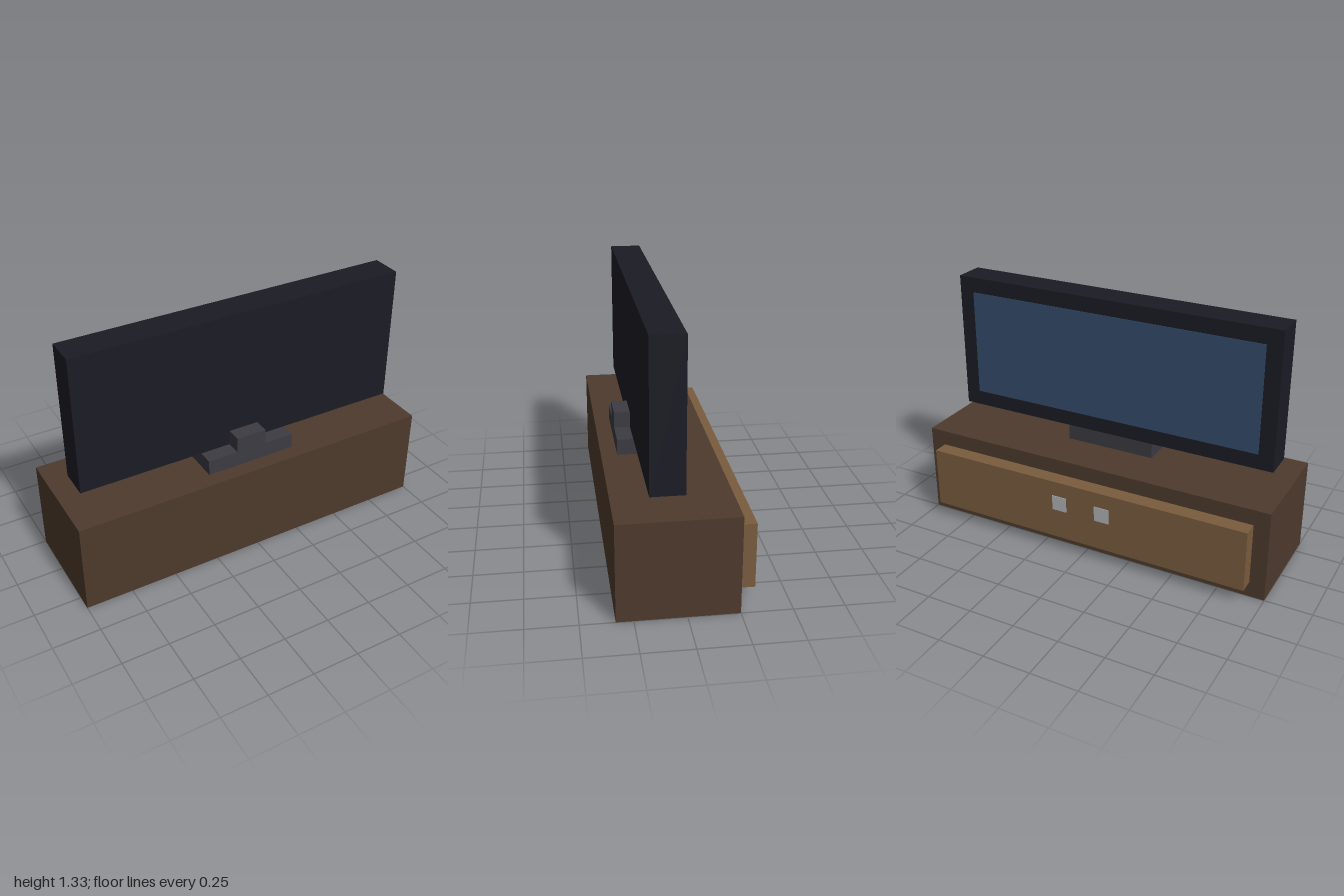
import * as THREE from 'three';

const U = 1 / 12; // the model sits on a grid of twelfths

export function createModel() {
  const model = new THREE.Group();
  model.name = 'televisionOnCabinet';

  const material = (name, color) => {
    const m = new THREE.MeshStandardMaterial({ color });
    m.name = name;
    return m;
  };
  const darkWood = material('dark wood', 0x4d3a2c);
  const lightWood = material('light wood', 0x7a5c3e);
  const casing = material('black casing', 0x1b1b25);
  const standGrey = material('stand grey', 0x3b3b42);
  const screenBlue = material('screen blue', 0x344c6c);
  const metal = material('handle metal', 0xb0b4b8);

  // Box between two corners, given in twelfths
  const box = (name, mat, [x0, y0, z0], [x1, y1, z1]) => {
    const mesh = new THREE.Mesh(
      new THREE.BoxGeometry((x1 - x0) * U, (y1 - y0) * U, (z1 - z0) * U), mat);
    mesh.position.set((x0 + x1) / 2 * U, (y0 + y1) / 2 * U, (z0 + z1) / 2 * U);
    mesh.name = name;
    model.add(mesh);
    return mesh;
  };

  // Cabinet with its raised drawer front
  box('cabinet', darkWood, [-12, 0, -3], [12, 6, 4]);
  box('drawerFront', lightWood, [-11, 1, -4], [11, 5, -3]);

  // Small square handles on the drawer
  for (const side of [-1, 1]) {
    box(side > 0 ? 'leftHandle' : 'rightHandle', metal,
      [side * 1.5 - 0.5, 3, -4.04], [side * 1.5 + 0.5, 4, -4]);
  }

  // Stand: wide foot and a short post behind the television
  box('standFoot', standGrey, [-3, 6, 0], [3, 7, 3]);
  box('standPost', standGrey, [-1, 7, 2], [1, 8, 3]);

  // Television casing and its thin screen
  box('televisionCasing', casing, [-11, 7, 0], [11, 16, 2]);
  box('screen', screenBlue, [-10, 8, -0.04], [10, 15, 0]);

  return model;
}
